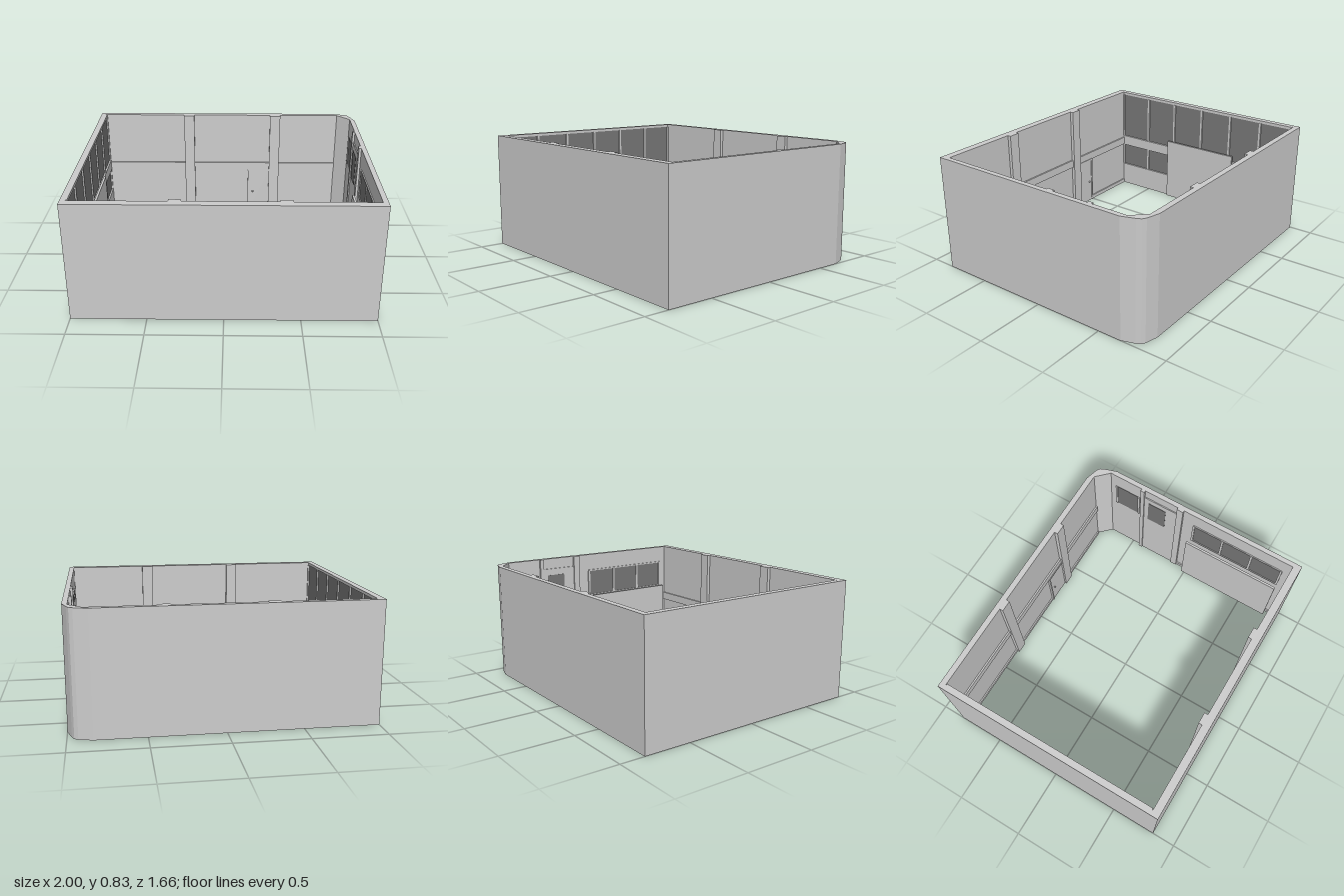
import * as THREE from 'three';

const H = 0.83;

export function createModel() {
  const room = new THREE.Group();
  room.name = 'room';
  const grey = new THREE.MeshStandardMaterial({ color: 0xcccccc });
  const glass = new THREE.MeshStandardMaterial({ color: 0x777777 });

  // box given by its extents on each axis
  function box(name, [x0, x1], [y0, y1], [z0, z1], material = grey, parent = room) {
    const mesh = new THREE.Mesh(
      new THREE.BoxGeometry(Math.abs(x1 - x0), y1 - y0, Math.abs(z1 - z0)), material);
    mesh.position.set((x0 + x1) / 2, (y0 + y1) / 2, (z0 + z1) / 2);
    mesh.name = name;
    parent.add(mesh);
    return mesh;
  }

  // row of panes with mullions along a side wall; face = wall surface, inner = frame surface
  function windowRow(name, face, inner, [y0, y1], [z0, z1], count, bar = 0.016) {
    const group = new THREE.Group();
    group.name = name;
    const s = Math.sign(inner - face);
    box('glass', [face, face + s * 0.002], [y0, y1], [z0, z1], glass, group);
    for (let i = 0; i <= count; i++) {
      const z = z0 + (z1 - z0) * i / count;
      box('mullion', [face, inner], [y0, y1], [z - bar / 2, z + bar / 2], grey, group);
    }
    room.add(group);
  }

  // outer walls with one rounded corner, open above and below
  const outline = (pts) => pts.map(([x, z]) => new THREE.Vector2(x, -z));
  const shape = new THREE.Shape(outline([
    [-1, 0.83], [1, 0.83], [1, -0.67], [0.97, -0.76], [0.955, -0.79],
    [0.93, -0.805], [0.84, -0.83], [-1, -0.83]]));
  shape.holes.push(new THREE.Path(outline([
    [-0.965, 0.775], [-0.965, -0.79], [0.875, -0.79], [0.965, -0.7], [0.965, 0.775]])));
  const wallGeometry = new THREE.ExtrudeGeometry(shape, { depth: H, bevelEnabled: false });
  wallGeometry.rotateX(-Math.PI / 2);
  const walls = new THREE.Mesh(wallGeometry, grey);
  walls.name = 'walls';
  room.add(walls);

  // pillars, rails and skirting on the front and back walls
  for (const [face, s, x1] of [[0.775, -1, 0.965], [-0.79, 1, 0.875]]) {
    for (const x of [-0.3, 0.385]) {
      box('pillar', [x - 0.04, x + 0.04], [0, H], [face, face + s * 0.025]);
    }
    box('wallRail', [-0.965, x1], [0.365, 0.425], [face, face + s * 0.012]);
    box('skirting', [-0.965, x1], [0, 0.03], [face, face + s * 0.01]);
  }

  // doors beside the pillars
  function door(x0, x1, knobX, face, s) {
    const z = (d) => face + s * d;
    box('doorLeaf', [x0, x1], [0, 0.355], [z(0), z(0.011)]);
    box('doorHeader', [x0 - 0.01, x1], [0.355, 0.37], [z(0), z(0.016)]);
    const jamb = Math.abs(knobX - x0) < 0.06 ? x0 : x1;
    box('doorJamb', [jamb - 0.006, jamb + 0.006], [0, 0.36], [z(0), z(0.016)]);
    const knob = new THREE.Mesh(new THREE.SphereGeometry(0.007, 10, 8), grey);
    knob.position.set(knobX, 0.17, z(0.017));
    knob.name = 'doorKnob';
    room.add(knob);
  }
  door(-0.49, -0.34, -0.455, 0.775, -1);
  door(0.18, 0.345, 0.215, -0.79, 1);

  // window side: two rows of panes between solid bands
  const span = [-0.785, 0.77];
  box('lowerWall', [-0.965, -0.95], [0, 0.18], span);
  box('windowSill', [-0.965, -0.95], [0.36, 0.44], span);
  box('windowHeader', [-0.965, -0.955], [0.81, H], span);
  windowRow('lowerWindows', -0.965, -0.953, [0.18, 0.36], span, 6);
  windowRow('upperWindows', -0.965, -0.953, [0.44, 0.81], span, 6);

  // corridor side: high windows, posts and a glazed entrance
  windowRow('highWindows', 0.965, 0.957, [0.495, 0.695], [0.005, 0.715], 3);
  for (const y of [0.49, 0.695]) {
    box('windowTrim', [0.965, 0.957], [y, y + 0.01], [0, 0.72]);
  }
  for (const z of [[-0.14, -0.09], [-0.44, -0.41]]) {
    box('entrancePost', [0.965, 0.948], [0, H], z);
  }
  box('entranceDoor', [0.965, 0.957], [0, 0.75], [-0.41, -0.14]);
  box('entranceGlass', [0.957, 0.955], [0.48, 0.7], [-0.375, -0.23], glass);
  windowRow('sideWindow', 0.965, 0.957, [0.48, 0.7], [-0.65, -0.46], 1);
  box('corridorSkirting', [0.965, 0.956], [0, 0.03], [-0.09, 0.775]);

  // free-standing boards in front of both side walls
  box('leftHandBoard', [-0.932, -0.915], [0.01, 0.5], [-0.32, 0.285]);
  box('rightHandBoard', [0.914, 0.93], [0.02, 0.5], [-0.02, 0.725]);

  return room;
}
